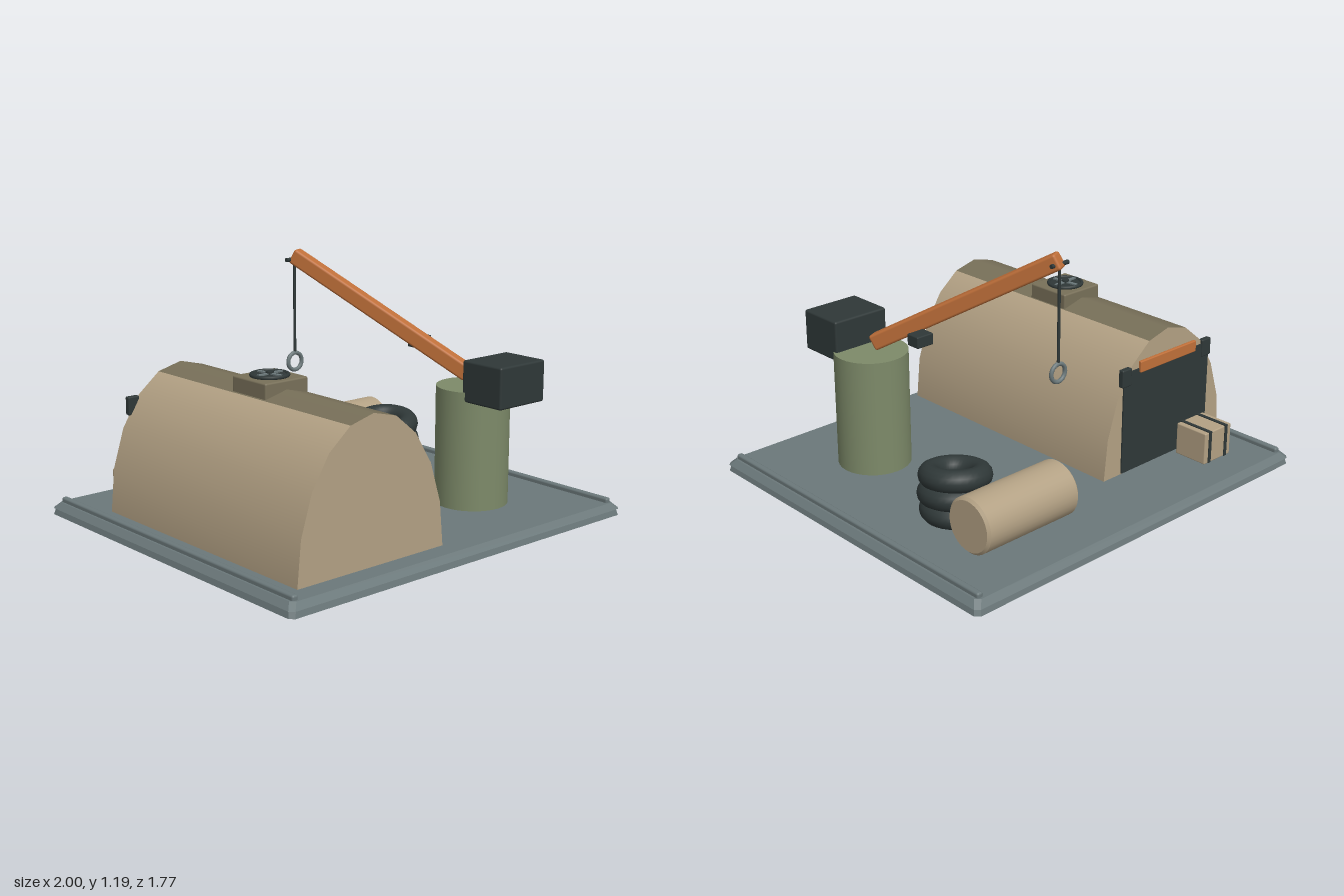
import * as THREE from 'three';
import { RoundedBoxGeometry } from 'three/addons/geometries/RoundedBoxGeometry.js';

const mat = (name, color) => {
  const m = new THREE.MeshStandardMaterial({ color });
  m.name = name;
  return m;
};

export function createModel() {
  const slate = mat('slate grey', 0x6b787a);
  const tan = mat('canvas tan', 0xb3a184);
  const olive = mat('ridge olive', 0x787059);
  const green = mat('post green', 0x7d8a69);
  const dark = mat('charcoal', 0x2f3838);
  const orange = mat('boom orange', 0xc0703a);

  const model = new THREE.Group();
  model.name = 'salvageYard';
  const add = (name, geometry, material, x = 0, y = 0, z = 0, parent = model) => {
    const m = new THREE.Mesh(geometry, material);
    m.name = name;
    m.position.set(x, y, z);
    parent.add(m);
    return m;
  };
  // Box given by its limits on each axis
  const block = (name, material, [x0, x1], [y0, y1], [z0, z1], r = 0) => {
    const size = [x1 - x0, y1 - y0, z1 - z0];
    const g = r ? new RoundedBoxGeometry(...size, 2, r) : new THREE.BoxGeometry(...size);
    return add(name, g, material, (x0 + x1) / 2, (y0 + y1) / 2, (z0 + z1) / 2);
  };

  // Base slab with clipped corners and a sloping upper edge
  const slab = (y0, y1, inset) => {
    const w = 1, d = 0.885, c = 0.02;
    const shape = new THREE.Shape([
      [w, -d + c], [w, d - c], [w - c, d], [-w + c, d],
      [-w, d - c], [-w, -d + c], [-w + c, -d], [w - c, -d],
    ].map(p => new THREE.Vector2(...p)));
    const g = new THREE.ExtrudeGeometry(shape, { depth: y1 - y0, bevelEnabled: false });
    g.rotateX(-Math.PI / 2).translate(0, y0, 0);
    const p = g.attributes.position;
    for (let i = 0; i < p.count; i++) {
      if (p.getY(i) > (y0 + y1) / 2) {
        p.setX(i, p.getX(i) - Math.sign(p.getX(i)) * inset);
        p.setZ(i, p.getZ(i) - Math.sign(p.getZ(i)) * inset);
      }
    }
    g.computeVertexNormals();
    return g;
  };
  add('baseSlab', slab(0, 0.03, 0.008), slate);
  add('baseTop', slab(0.03, 0.058, 0.026), slate);
  for (const s of [-1, 1]) {
    block('edgeRail', slate, [s * 0.95 - 0.015, s * 0.95 + 0.015], [0.045, 0.08], [-0.85, 0.85], 0.01);
  }

  // Arched shelter: ten-sided elliptical vault with an olive ridge
  const shelter = new THREE.Group();
  shelter.name = 'shelter';
  shelter.position.set(-0.5, 0.075, 0.14);
  model.add(shelter);
  const W = 0.4, H = 0.645, L = 1.32, step = Math.PI / 10;
  const vault = (name, first, count, material) => {
    const g = new THREE.CylinderGeometry(1, 1, L, count, 1, true, first * step, count * step);
    add(name, g.rotateX(-Math.PI / 2).scale(W, H, 1), material, 0, 0, 0, shelter);
  };
  vault('rightWall', -5, 4, tan);
  vault('ridge', -1, 2, olive);
  vault('leftWall', 1, 4, tan);
  for (const s of [1, -1]) {
    const end = new THREE.CircleGeometry(1, 10, 0, Math.PI).scale(W, H, 1);
    if (s < 0) end.rotateY(Math.PI);
    add('endWall', end, tan, 0, 0, s * L / 2, shelter);
  }
  add('shelterFloor', new THREE.PlaneGeometry(2 * W, L).rotateX(Math.PI / 2), tan, 0, 0, 0, shelter);

  // Rear door, corner brackets and lintel bar
  block('rearDoor', dark, [-0.79, -0.21], [0.08, 0.575], [-0.527, -0.519]);
  for (const x of [-0.77, -0.225]) {
    block('doorBracket', dark, [x - 0.03, x + 0.03], [0.51, 0.595], [-0.533, -0.505], 0.006);
  }
  block('doorBar', orange, [-0.69, -0.31], [0.555, 0.61], [-0.536, -0.518], 0.005);

  // Roof vent with a four-bladed fan
  block('ventBox', olive, [-0.615, -0.382], [0.65, 0.76], [0.025, 0.255], 0.008);
  add('ventDisc', new THREE.CylinderGeometry(0.08, 0.08, 0.012, 24), dark, -0.5, 0.762, 0.14);
  add('ventRing', new THREE.TorusGeometry(0.08, 0.009, 8, 24).rotateX(Math.PI / 2), dark, -0.5, 0.766, 0.14);
  for (let i = 0; i < 4; i++) {
    const a = i * Math.PI / 2 + 0.1;
    const blade = add('fanBlade', new THREE.BoxGeometry(0.056, 0.006, 0.018), slate,
      -0.5 + Math.cos(a) * 0.042, 0.771, 0.14 - Math.sin(a) * 0.042);
    blade.rotation.y = a;
  }
  add('fanHub', new THREE.CylinderGeometry(0.018, 0.018, 0.014, 12), dark, -0.5, 0.774, 0.14);

  // Strapped crate behind the shelter
  block('crate', tan, [-0.775, -0.59], [0.058, 0.215], [-0.7, -0.525], 0.006);
  for (const x of [-0.737, -0.624]) {
    block('crateStrap', dark, [x - 0.009, x + 0.009], [0.06, 0.219], [-0.704, -0.524]);
  }

  // Crane post, counterweight and lamp
  add('cranePost', new THREE.CylinderGeometry(0.172, 0.172, 0.557, 32), green, 0.492, 0.3365, 0.4);
  block('counterweight', dark, [0.345, 0.635], [0.57, 0.763], [0.47, 0.705], 0.01);
  block('lamp', dark, [0.445, 0.535], [0.742, 0.797], [0.01, 0.082], 0.006);

  // Crane boom
  const foot = new THREE.Vector3(0.492, 0.665, 0.365);
  const tip = new THREE.Vector3(0.115, 1.163, -0.43);
  const mid = foot.clone().add(tip).multiplyScalar(0.5);
  const boom = add('craneBoom', new RoundedBoxGeometry(0.065, 0.075, foot.distanceTo(tip) + 0.01, 2, 0.012),
    orange, mid.x, mid.y, mid.z);
  boom.lookAt(tip);

  // Tip pin, cable and hook ring
  add('tipPin', new THREE.CylinderGeometry(0.01, 0.01, 0.1, 10).rotateZ(Math.PI / 2), dark, 0.112, 1.145, -0.43);
  add('cable', new THREE.CylinderGeometry(0.007, 0.007, 0.45, 10), dark, 0.112, 0.915, -0.43);
  add('hookRing', new THREE.TorusGeometry(0.042, 0.01, 10, 28), slate, 0.112, 0.647, -0.43);

  // Stack of tilted tyres
  const tyres = [[0.595, 0.116, -0.3, 0.03, 0.03], [0.61, 0.198, -0.305, 0.1, 0.1], [0.602, 0.28, -0.305, 0.12, 0.12]];
  for (const [x, y, z, rx, rz] of tyres) {
    const tyre = add('tyre', new THREE.TorusGeometry(0.112, 0.051, 14, 32).rotateX(Math.PI / 2), dark, x, y, z);
    tyre.rotation.set(rx, 0, rz);
  }

  // Drum lying on its side, with chamfered rims
  const drum = new THREE.Group();
  drum.name = 'drum';
  drum.position.set(0.523, 0.208, -0.592);
  drum.rotation.z = Math.PI / 2;
  model.add(drum);
  add('drumBody', new THREE.CylinderGeometry(0.128, 0.128, 0.5, 32, 1, true), tan, 0, 0, 0, drum);
  for (const s of [1, -1]) {
    const rim = new THREE.CylinderGeometry(0.116, 0.128, 0.012, 32);
    if (s < 0) rim.rotateX(Math.PI);
    add('drumRim', rim, tan, 0, s * 0.256, 0, drum);
  }
  return model;
}
